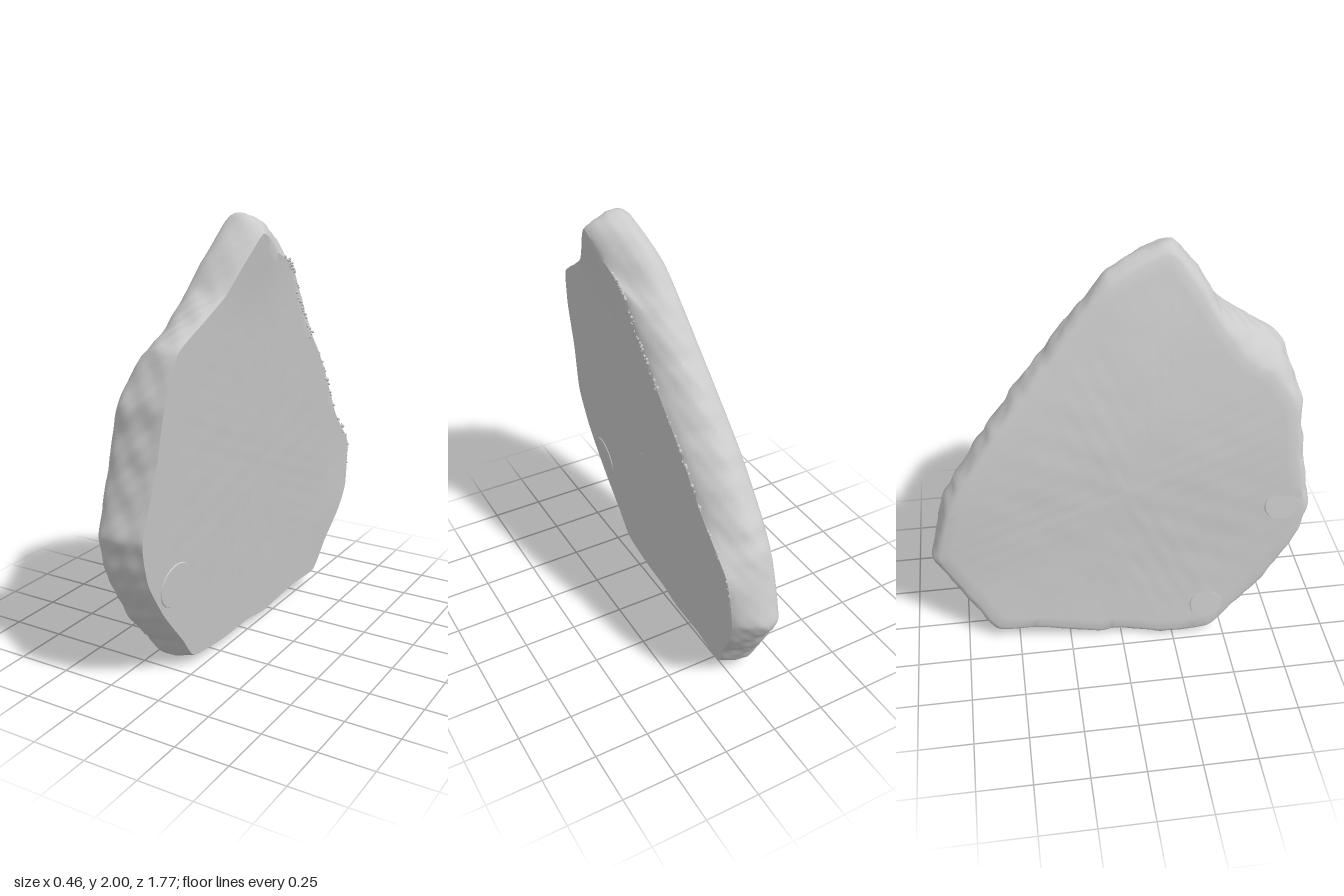
import * as THREE from 'three';
import { toCreasedNormals } from 'three/addons/utils/BufferGeometryUtils.js';

// Outline as [z, y] pairs, from the top point round by the front (+z) side
const FACE = [[.27, 1.92], [.45, 1.70], [.58, 1.61], [.73, 1.51], [.79, 1.30], [.81, 1.05], [.86, .76],
  [.80, .55], [.67, .35], [.52, .17], [.42, .05], [.20, .035], [0, .05], [-.15, .04], [-.40, .08], [-.60, .09],
  [-.68, .24], [-.77, .39], [-.81, .52], [-.78, .76], [-.60, .96], [-.42, 1.23], [-.18, 1.52], [-.02, 1.76],
  [.14, 1.84]];
const RIM = [[.24, 1.995], [.45, 1.72], [.60, 1.62], [.75, 1.53], [.81, 1.30], [.83, 1.05], [.88, .76],
  [.82, .53], [.69, .32], [.54, .14], [.43, .02], [.22, 0], [0, .03], [-.12, .02], [-.40, .06], [-.62, .07],
  [-.73, .24], [-.83, .40], [-.88, .52], [-.82, .77], [-.75, .92], [-.57, 1.20], [-.38, 1.45], [-.22, 1.66],
  [-.03, 1.88]];
// Rim section: [depth from front 0 to back 1, blend from FACE to RIM, inset, roughness]
const SECTION = [[0, 0, 0, 0], [.08, .25, 0, .004], [.2, .5, 0, .007], [.35, .75, 0, .009], [.5, .92, 0, .009],
  [.65, 1, 0, .009], [.8, 1, .004, .008], [.9, 1, .013, .006], [.96, 1, .024, .004], [1, 1, .042, .001]];
const SEGMENTS = 288;
const CENTRE = new THREE.Vector2(0.03, 0.88);

const bump = (z, y, z0, y0, spread) => Math.exp(-((z - z0) ** 2 + (y - y0) ** 2) / spread);

// The front is a slightly leaning plane that swells a little at the top; the back bellies out at mid height
const frontPlane = (y, z) => -0.007 + 0.12 * y - 0.072 * z
  + 0.025 * bump(z, y, 0.27, 1.95, 0.05) + 0.012 * bump(z, y, -0.85, 0.4, 0.05);
const thickness = (y) => 0.197 + 0.042 * Math.exp(-((y - 1.1) ** 2) / 0.35);

const outline = (points) => {
  const curve = new THREE.CatmullRomCurve3(
    points.map(([z, y]) => new THREE.Vector3(z, y, 0)), true, 'catmullrom', 0.28);
  return Array.from({ length: SEGMENTS }, (_, i) => curve.getPoint(i / SEGMENTS));
};

// Smooth repeatable lumps, without a direction
const rough = (x, y, z) =>
  0.6 * Math.sin(15 * y + 4 * z + 1) * Math.cos(14 * z - 5 * y + 9 * x) +
  0.6 * Math.sin(29 * y - 11 * z + 18 * x) * Math.cos(27 * z + 9 * y - 25 * x + 2) +
  0.4 * Math.sin(53 * y + 17 * z - 40 * x) * Math.cos(49 * z - 21 * y + 38 * x + 1);

function slabGeometry() {
  const face = outline(FACE), rim = outline(RIM);
  // Rings run from the middle of the front, over the rim, to the middle of the back
  const rings = [];
  const steps = 16;
  for (let k = 0; k < steps; k++) rings.push([...SECTION[0], Math.max(0.001, k / steps)]);
  for (let k = 0; k < SECTION.length - 1; k++) {
    for (const t of [0, 0.5]) rings.push([...SECTION[k].map((v, n) => THREE.MathUtils.lerp(v, SECTION[k + 1][n], t)), 1]);
  }
  for (let k = steps; k >= 0; k--) rings.push([...SECTION.at(-1), Math.max(0.001, k / steps)]);

  const positions = [], indices = [];
  for (const [depth, blend, inset, lumps, scale] of rings) {
    for (let i = 0; i < SEGMENTS; i++) {
      const p = new THREE.Vector2().lerpVectors(face[i], rim[i], blend);
      const x0 = frontPlane(p.y, p.x) - depth * thickness(p.y);
      // The upper front corner is worn away towards the back
      const worn = 0.1 * depth * depth * bump(p.x, p.y, 0.7, 1.58, 0.04);
      const length = p.clone().sub(CENTRE).length() - inset - worn + lumps * rough(x0, p.y, p.x);
      p.sub(CENTRE).setLength(length * scale).add(CENTRE);
      const broad = scale < 1 ? Math.min(1, 3 * (1 - scale)) : 0;
      const wave = broad * (depth === 1 ? 0.002 : 0.001) * rough(0, p.y, p.x);
      positions.push(frontPlane(p.y, p.x) - depth * thickness(p.y) + wave, Math.max(0, p.y), p.x);
    }
  }
  for (let r = 0; r < rings.length - 1; r++) {
    for (let i = 0; i < SEGMENTS; i++) {
      const j = (i + 1) % SEGMENTS;
      const a = r * SEGMENTS + i, b = r * SEGMENTS + j;
      const c = a + SEGMENTS, d = b + SEGMENTS;
      indices.push(a, c, d, a, d, b);
    }
  }
  const geometry = new THREE.BufferGeometry();
  geometry.setAttribute('position', new THREE.Float32BufferAttribute(positions, 3));
  geometry.setIndex(indices);
  return toCreasedNormals(geometry, 0.6);
}

export function createModel() {
  const group = new THREE.Group();
  group.name = 'stoneSlab';
  const material = new THREE.MeshStandardMaterial({ color: 0xcccccc });
  const add = (name, geometry) => {
    const mesh = new THREE.Mesh(geometry, material);
    mesh.name = name;
    group.add(mesh);
    return mesh;
  };

  add('slab', slabGeometry());

  // Thin round patches lying almost flush on the broad sides
  const frontNormal = new THREE.Vector3(1, -0.12, 0.072).normalize();
  const backNormal = new THREE.Vector3(-1, 0.14, -0.072).normalize();
  const patch = (name, z, y, radius, depth) => {
    const mesh = add(name, new THREE.CylinderGeometry(radius * 0.95, radius, 0.008, 28));
    mesh.position.set(frontPlane(y, z) - depth * thickness(y), y, z);
    mesh.quaternion.setFromUnitVectors(new THREE.Vector3(0, 1, 0), depth ? backNormal : frontNormal);
  };
  patch('facePatch', 0.61, 0.48, 0.105, 0);
  patch('backPatchUpper', 0.74, 0.77, 0.08, 1);
  patch('backPatchLower', 0.41, 0.19, 0.08, 1);

  // Crumbs along the long sloping edge of the face
  let seed = 7;
  const random = () => (seed = (seed * 16807) % 2147483647) / 2147483647;
  const edge = outline(FACE);
  const crumbGeometry = new THREE.IcosahedronGeometry(1, 0);
  for (let k = 0; k < 90; k++) {
    const p = edge[Math.floor(SEGMENTS * (0.74 + 0.2 * random()))];
    const z = p.x + 0.025 * (random() - 0.5), y = p.y + 0.025 * (random() - 0.5);
    const crumb = add('crumb', crumbGeometry);
    crumb.position.set(frontPlane(y, z) - 0.002, y, z);
    crumb.scale.setScalar(0.004 + 0.005 * random());
  }
  return group;
}
